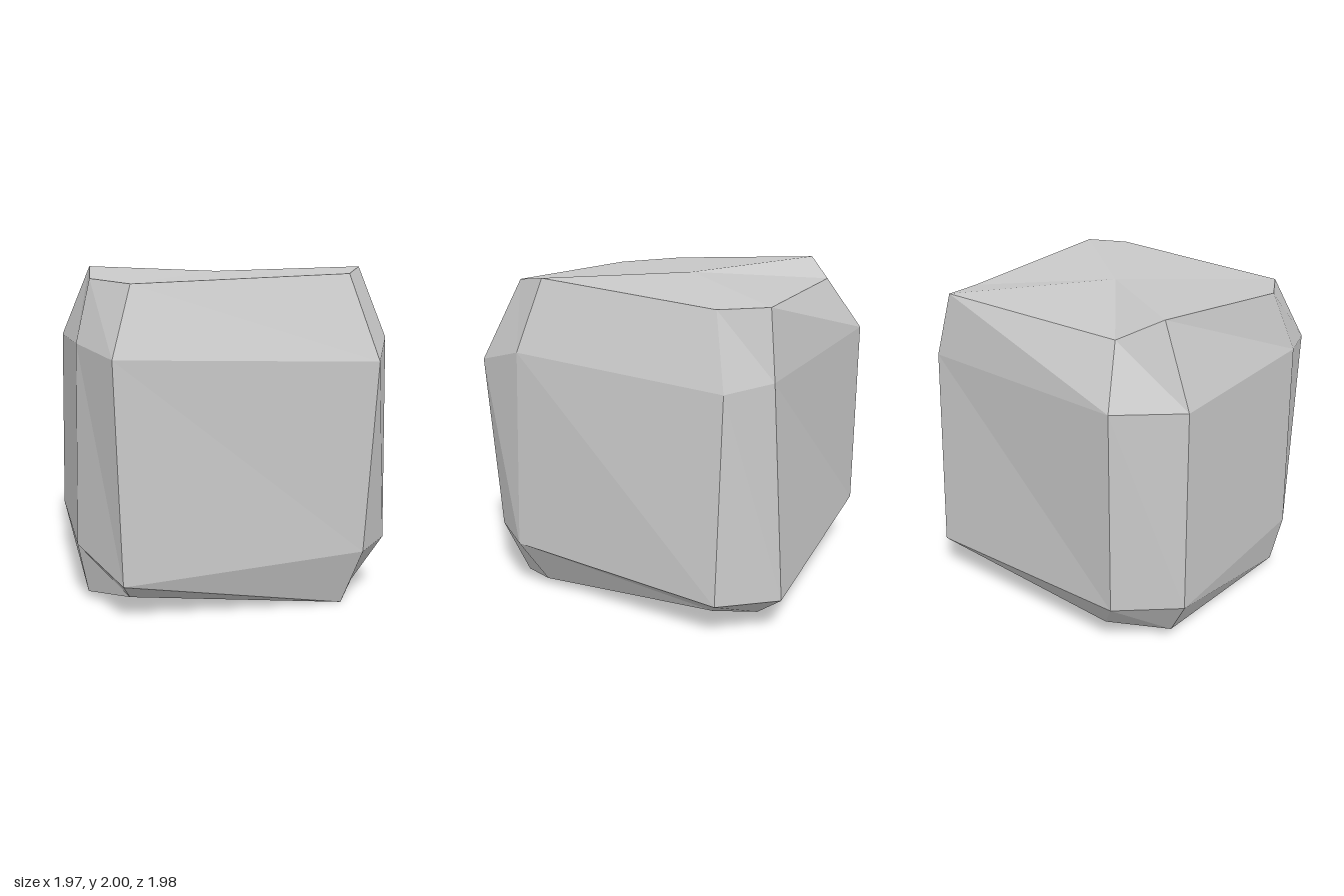
import * as THREE from 'three';

// Each ring has eight corners, running counter-clockwise seen from above,
// starting at the front face's -x edge.
const RINGS = [
  // underside rim
  [[-0.63, 0.09, 0.78], [0.635, 0, 0.84], [0.78, 0.05, 0.6], [0.82, 0.11, -0.57],
    [0.62, 0.05, -0.78], [-0.555, 0.13, -0.865], [-0.835, 0.05, -0.585], [-0.86, 0.04, 0.5]],
  // lower edge of the walls
  [[-0.68, 0.22, 0.97], [0.725, 0.35, 0.96], [0.945, 0.35, 0.69], [0.985, 0.235, -0.65],
    [0.77, 0.245, -0.975], [-0.7, 0.34, -0.985], [-0.985, 0.31, -0.66], [-0.92, 0.35, 0.53]],
  // upper edge of the walls
  [[-0.72, 1.5, 0.95], [0.785, 1.47, 0.99], [0.945, 1.58, 0.63], [0.915, 1.47, -0.66],
    [0.78, 1.53, -0.9], [-0.695, 1.56, -0.985], [-0.965, 1.53, -0.64], [-0.9, 1.56, 0.53]],
  // top rim
  [[-0.6, 1.905, 0.76], [0.665, 1.96, 0.77], [0.8, 2, 0.53], [0.785, 1.9, -0.56],
    [0.7, 1.92, -0.84], [-0.57, 1.89, -0.78], [-0.77, 2, -0.61], [-0.81, 1.93, 0.4]],
];
const BOTTOM_CENTRE = [0, 0.06, 0];
const TOP_CENTRE = [0.03, 1.97, -0.08];

function rockGeometry() {
  const n = 8;
  const points = [...RINGS.flat(), BOTTOM_CENTRE, TOP_CENTRE];
  const bottom = RINGS.length * n;
  const top = bottom + 1;
  const last = (RINGS.length - 1) * n;
  const index = [];
  for (let i = 0; i < n; i++) {
    const j = (i + 1) % n;
    // bands, each split from upper left to lower right
    for (let r = 0; r < RINGS.length - 1; r++) {
      const lo = r * n, hi = lo + n;
      index.push(hi + i, lo + i, lo + j, hi + i, lo + j, hi + j);
    }
    // fans closing the underside and the top
    index.push(bottom, j, i, top, last + i, last + j);
  }
  const geometry = new THREE.BufferGeometry();
  geometry.setAttribute('position', new THREE.Float32BufferAttribute(points.flat(), 3));
  geometry.setIndex(index);
  const faceted = geometry.toNonIndexed();
  faceted.computeVertexNormals();
  return faceted;
}

export function createModel() {
  const stone = new THREE.MeshStandardMaterial({ color: 0xc8c8c8, flatShading: true });
  stone.name = 'stone grey';
  const rock = new THREE.Mesh(rockGeometry(), stone);
  rock.name = 'stoneBlock';
  const model = new THREE.Group();
  model.name = 'rock';
  model.add(rock);
  return model;
}
